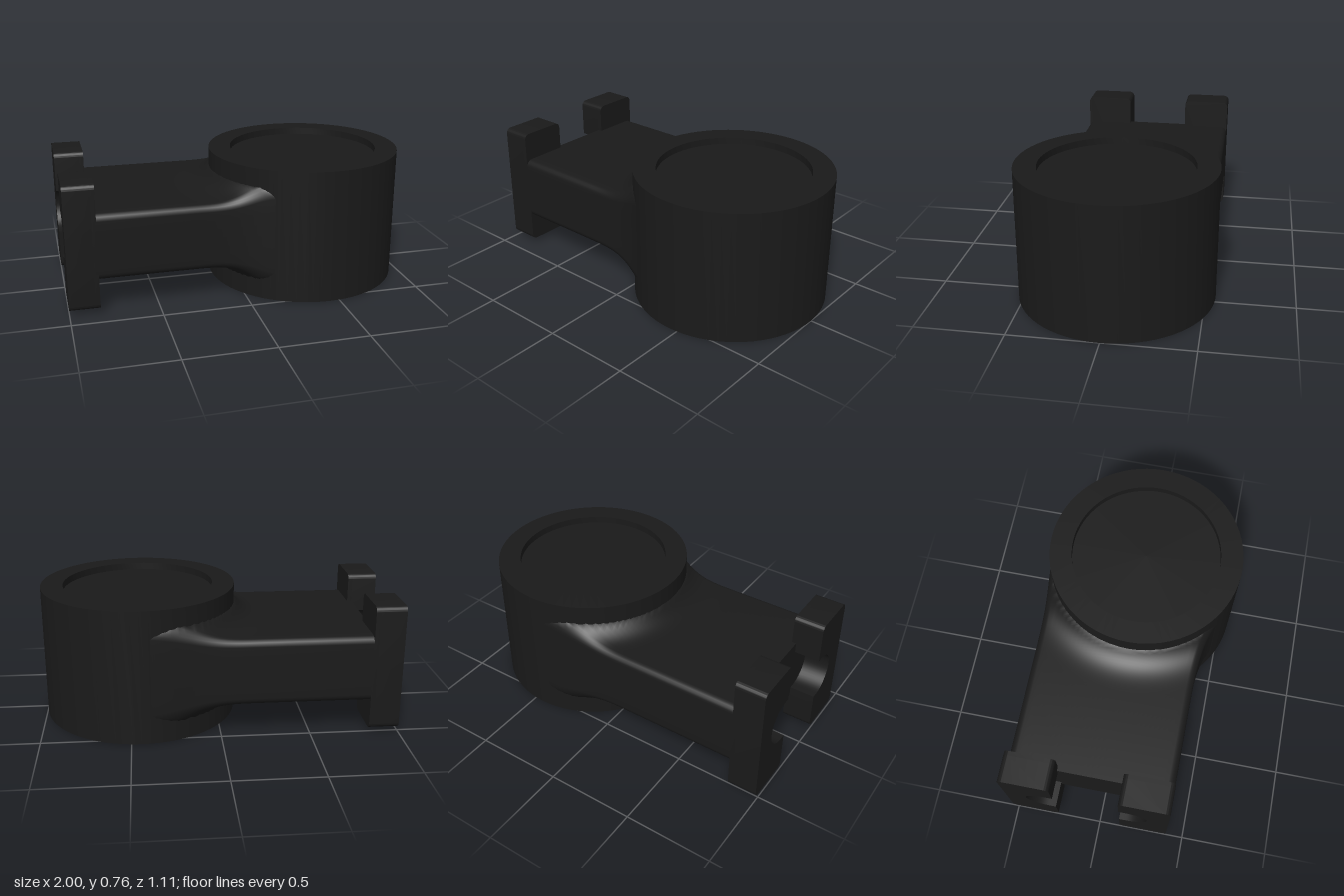
import * as THREE from 'three';
import { toCreasedNormals } from 'three/addons/utils/BufferGeometryUtils.js';

const CX = 0.443, R = 0.557;      // round housing centre and radius
const MID_Y = 0.386, SLOT_Z = -0.065;

// Round housing with a shallow recess in its top
function housingGeometry() {
  const profile = [[0, 0], [R, 0], [R, 0.765], [0.43, 0.765], [0.43, 0.725], [0, 0.725]]
    .map(([r, y]) => new THREE.Vector2(r, y));
  return toCreasedNormals(new THREE.LatheGeometry(profile, 72), 0.6);
}

// Rounded rectangle as [z, y] points, counter-clockwise from the +z side
function sectionPoints(back, front, h, r) {
  const c = (front + back) / 2, w = (front - back) / 2, arcs = [];
  for (let k = 0; k < 4; k++) {
    const sz = k === 0 || k === 3 ? 1 : -1, sy = k < 2 ? 1 : -1, arc = [];
    for (let i = 0; i <= 5; i++) {
      const a = (k + i / 5) * Math.PI / 2;
      arc.push([c + sz * (w - r) + r * Math.cos(a), sy * (h - r) + r * Math.sin(a)]);
    }
    arcs.push(arc);
  }
  const pts = [];
  arcs.forEach((arc, k) => {
    pts.push(...arc);
    const a = arc[5], b = arcs[(k + 1) % 4][0], n = k % 2 ? 6 : 32;
    for (let i = 1; i < n; i++) {
      const t = i / n;
      pts.push([a[0] + (b[0] - a[0]) * t, a[1] + (b[1] - a[1]) * t]);
    }
  });
  return pts;
}

// Arm lofted along x, swelling into a fillet where it nears the housing wall
function armGeometry() {
  const rails = new THREE.CatmullRomCurve3([   // x, back z, front z
    [-0.855, -0.53, 0.4], [-0.6, -0.53, 0.4], [-0.35, -0.53, 0.4], [-0.2, -0.53, 0.402],
    [-0.05, -0.531, 0.413], [0.05, -0.533, 0.433], [0.13, -0.537, 0.462],
    [0.21, -0.543, 0.502], [0.3, -0.55, 0.53], [0.42, -0.555, 0.54],
  ].map((p) => new THREE.Vector3(...p)), false, 'centripetal');
  const steps = 90, pos = [], index = [];
  let n = 0;
  for (let i = 0; i <= steps; i++) {
    const p = rails.getPoint(i / steps);
    const ring = sectionPoints(p.y, p.z, 0.19, 0.04);
    n = ring.length;
    for (const [z, y] of ring) {
      const d = Math.max(0, Math.hypot(p.x - CX, z) - R);
      const swell = 0.085 * Math.pow(Math.max(0, 1 - d / 0.27), 4);
      pos.push(p.x, y * (1 + swell / 0.19), z);
    }
  }
  for (let i = 0; i < steps; i++) {
    for (let j = 0; j < n; j++) {
      const a = i * n + j, b = i * n + (j + 1) % n;
      index.push(a, a + n, b, b, a + n, b + n);
    }
  }
  // flat end cap
  const centre = pos.length / 3;
  pos.push(-0.855, 0, SLOT_Z, ...pos.slice(0, n * 3));
  for (let j = 0; j < n; j++) index.push(centre, centre + 1 + j, centre + 1 + (j + 1) % n);
  const geo = new THREE.BufferGeometry();
  geo.setAttribute('position', new THREE.Float32BufferAttribute(pos, 3));
  geo.setIndex(index);
  geo.computeVertexNormals();
  return geo;
}

// Prong plate outline, optionally with half of the round-ended slot cut in its inner edge
function prongGeometry(x0, x1, slotted) {
  const inner = 0.185, outer = 0.465, h = 0.358, r = 0.03, s = 0.13;
  const shape = new THREE.Shape();
  shape.moveTo(inner + r, -h);
  shape.absarc(outer - r, -h + r, r, -Math.PI / 2, 0, false);
  shape.absarc(outer - r, h - r, r, 0, Math.PI / 2, false);
  shape.absarc(inner + r, h - r, r, Math.PI / 2, Math.PI, false);
  if (slotted) {
    shape.lineTo(inner, s);
    shape.absarc(0.215, 0, s, Math.PI / 2, -Math.PI / 2, true);
    shape.lineTo(inner, -s);
  }
  shape.absarc(inner + r, -h + r, r, Math.PI, Math.PI * 1.5, false);
  const geo = new THREE.ExtrudeGeometry(shape, { depth: x1 - x0, bevelEnabled: false, curveSegments: 12 });
  geo.translate(0, 0, x0);
  geo.rotateY(Math.PI / 2);
  return toCreasedNormals(geo, 0.6);
}

export function createModel() {
  const model = new THREE.Group();
  const material = new THREE.MeshStandardMaterial({ color: 0x1a1a1a });
  const add = (name, geo, parent = model) => {
    const mesh = new THREE.Mesh(geo, material);
    mesh.name = name;
    parent.add(mesh);
    return mesh;
  };

  add('housing', housingGeometry()).position.x = CX;
  add('arm', armGeometry()).position.y = MID_Y;

  // Pair of clamping prongs, mirrored about the slot
  const front = prongGeometry(-1, -0.855, true), rear = prongGeometry(-0.855, -0.83, false);
  for (const [name, turn] of [['backProng', 0], ['frontProng', Math.PI]]) {
    const prong = new THREE.Group();
    prong.name = name;
    add('slottedPlate', front, prong);
    add('backingPlate', rear, prong);
    prong.position.set(0, MID_Y, SLOT_Z);
    prong.rotation.x = turn;
    model.add(prong);
  }
  return model;
}
